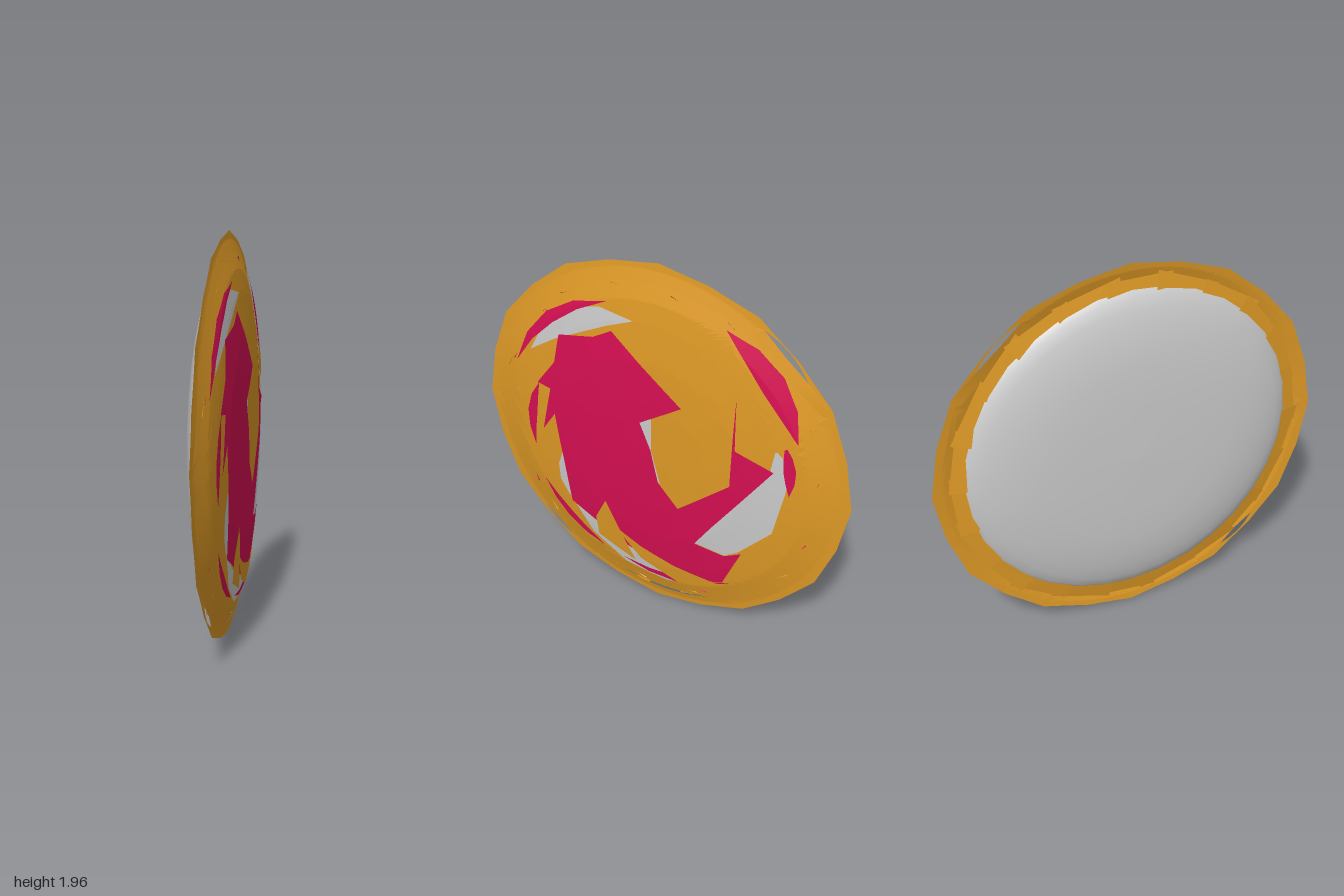
import * as THREE from 'three';

const ORANGE = 0xdf9a26, PINK = 0xd60f52, GREY = 0xcccccc;
const CY = 0.985; // height of the disc's centre
const DEG = Math.PI / 180;

function makeMesh(name, color, geometry) {
  const mesh = new THREE.Mesh(geometry, new THREE.MeshStandardMaterial({ color, side: THREE.DoubleSide }));
  mesh.name = name;
  return mesh;
}

function fromPositions(positions) {
  const geometry = new THREE.BufferGeometry();
  geometry.setAttribute('position', new THREE.Float32BufferAttribute(positions, 3));
  geometry.computeVertexNormals();
  return geometry;
}

// Thickness of the coloured face's shallow bulge at radius r
const BULGE = [[0, 0.097], [0.3, 0.094], [0.5, 0.086], [0.7, 0.067], [0.8, 0.053], [0.88, 0.03], [0.94, 0.014], [1.1, -0.005]];
function bulge(r) {
  const i = BULGE.findIndex(([radius]) => r < radius);
  const [r0, h0] = BULGE[i - 1], [r1, h1] = BULGE[i];
  return h0 + (h1 - h0) * (r - r0) / (r1 - r0);
}

const polar = (degrees, r) => new THREE.Vector2(r * Math.cos(degrees * DEG), CY + r * Math.sin(degrees * DEG));
const outline = (...pairs) => pairs.map(([u, v]) => new THREE.Vector2(u, v));

// Curved sliver from one angle to another, pointed at both ends
function blade(a0, a1, r0, r1, width) {
  const inner = [], outer = [];
  const steps = 4;
  for (let i = 0; i <= steps; i++) {
    const t = i / steps, a = a0 + (a1 - a0) * t, r = r0 + (r1 - r0) * t;
    const half = (width / 2) * Math.sin(Math.PI * t);
    outer.push(polar(a, r + half));
    if (i > 0 && i < steps) inner.unshift(polar(a, r - half));
  }
  return [...outer, ...inner];
}

// Splits each flat triangle into four repeatedly, then wraps it over the bulge
function patch(name, color, layer, points, levels = 4, holes = []) {
  const shape = new THREE.Shape(points);
  shape.holes = holes.map((hole) => new THREE.Path(hole));
  const flat = new THREE.ShapeGeometry(shape).toNonIndexed().getAttribute('position');
  let triangles = [];
  for (let i = 0; i < flat.count; i += 3) {
    triangles.push([0, 1, 2].map((k) => new THREE.Vector2(flat.getX(i + k), flat.getY(i + k))));
  }
  for (let n = 0; n < levels; n++) {
    triangles = triangles.flatMap(([a, b, c]) => {
      const ab = a.clone().lerp(b, 0.5), bc = b.clone().lerp(c, 0.5), ca = c.clone().lerp(a, 0.5);
      return [[a, ab, ca], [ab, b, bc], [ca, bc, c], [ab, bc, ca]];
    });
  }
  const wrap = (p) => [bulge(Math.hypot(p.x, p.y - CY)) + layer * 0.004, p.y, -p.x];
  return makeMesh(name, color, fromPositions(triangles.flat().flatMap(wrap)));
}

// Overlapping slanted strips between the two faces
function rimStrips(name, color, count, inner, outer, x0, x1) {
  const positions = [];
  const at = (x, degrees, r) => {
    const p = polar(degrees, r);
    return [x, p.y, -p.x];
  };
  for (let i = 0; i < count; i++) {
    const a = (i / count) * 360, b = a + 468 / count;
    const wobble = 0.012 * Math.sin(i * 2.4);
    const p = at(x0, a, inner + wobble), q = at(x1, a, outer + wobble);
    const r = at(x1 + 0.006, b, outer - wobble), s = at(x0 + 0.006, b, inner);
    positions.push(...p, ...q, ...r, ...p, ...r, ...s);
  }
  return makeMesh(name, color, fromPositions(positions));
}

export function createModel() {
  const model = new THREE.Group();
  model.name = 'layeredDisc';

  // Smooth grey dome on the right side
  const profile = outline([0.845, 0], [0.82, 0.022], [0.77, 0.042], [0.7, 0.062], [0.6, 0.08], [0.48, 0.092], [0.3, 0.1], [0, 0.104]);
  const dome = makeMesh('greyDome', GREY, new THREE.LatheGeometry(profile, 32).rotateZ(Math.PI / 2));
  dome.position.y = 0.995;
  model.add(dome);

  // Orange face with a faceted, slightly ragged rim and narrow slits
  const rim = [];
  for (let i = 0; i < 24; i++) {
    rim.push(polar(i * 15, 0.99 + 0.01 * Math.cos(i * 30 * DEG) - (i % 2) * 0.012));
  }
  const slits = [blade(39, 57, 0.955, 0.955, 0.03), blade(222, 236, 0.95, 0.95, 0.03), blade(256, 290, 0.9, 0.9, 0.02)];
  model.add(patch('orangeFace', ORANGE, 0, rim, 5, slits));

  // Rim layers
  model.add(rimStrips('orangeRim', ORANGE, 22, 0.82, 0.92, -0.012, 0.006));
  model.add(rimStrips('orangeEdge', ORANGE, 18, 0.83, 0.87, -0.006, 0.03));
  model.add(rimStrips('pinkEdge', PINK, 14, 0.8, 0.85, 0, 0.035));

  // Large angular patches over the face
  model.add(patch('greyRight', GREY, 1, outline(
    [0.62, 1.1], [0.64, 1.23], [0.72, 1.16], [0.7, 1], [0.65, 0.75], [0.48, 0.56], [0.41, 0.51], [0.25, 0.53], [0.32, 0.7])));
  model.add(patch('greyCentre', GREY, 1, outline([-0.06, 1.16], [0.01, 1.2], [0.01, 1.02], [0.06, 0.83], [-0.04, 0.95])));
  model.add(patch('pinkCentre', PINK, 2, outline(
    [-0.21, 1.6], [0.17, 1.31], [-0.05, 1.16], [0.01, 1.02], [0.05, 0.84], [0.16, 0.72], [0.43, 0.96], [0.44, 1.48], [0.45, 1.17],
    [0.64, 1.11], [0.34, 0.67], [0.25, 0.53], [0.41, 0.51], [0.5, 0.56], [0.4, 0.32], [0.17, 0.22], [-0.17, 0.35], [-0.48, 0.5],
    [-0.51, 0.76], [-0.55, 1.03], [-0.63, 0.91], [-0.57, 1.17], [-0.65, 1.18], [-0.54, 1.33], [-0.51, 1.49], [-0.31, 1.54])));
  model.add(patch('orangeSpike', ORANGE, 3, outline([-0.26, 0.6], [-0.2, 0.47], [-0.1, 0.25], [-0.32, 0.34], [-0.33, 0.46])));
  model.add(patch('orangeBarb', ORANGE, 3, outline(
    [0.44, 1.48], [0.5, 1.33], [0.56, 1.41], [0.73, 1.28], [0.62, 1.21], [0.53, 1.23], [0.45, 1.18])));

  // Curved slivers: start angle, end angle, start radius, end radius, width
  const sliver = (name, color, layer, ...arc) => model.add(patch(name, color, layer, blade(...arc)));
  sliver('greyUpperLeft', GREY, 1, 98, 152, 0.7, 0.78, 0.13);
  sliver('greyLeft', GREY, 1, 198, 230, 0.54, 0.66, 0.12);
  sliver('greyBottom', GREY, 1, 224, 292, 0.67, 0.8, 0.13);
  sliver('pinkUpperLeft', PINK, 2, 108, 161, 0.79, 0.83, 0.06);
  sliver('pinkUpperRight', PINK, 2, 65, 22, 0.85, 0.8, 0.12);
  sliver('pinkRight', PINK, 2, 23, 1, 0.74, 0.72, 0.06);
  sliver('pinkLeft', PINK, 2, 163, 196, 0.67, 0.72, 0.06);
  sliver('pinkLowerLeft', PINK, 2, 212, 248, 0.77, 0.78, 0.05);
  sliver('pinkBottom', PINK, 2, 256, 304, 0.77, 0.79, 0.04);
  sliver('orangeSwoosh', ORANGE, 3, 248, 314, 0.58, 0.9, 0.12);

  return model;
}
